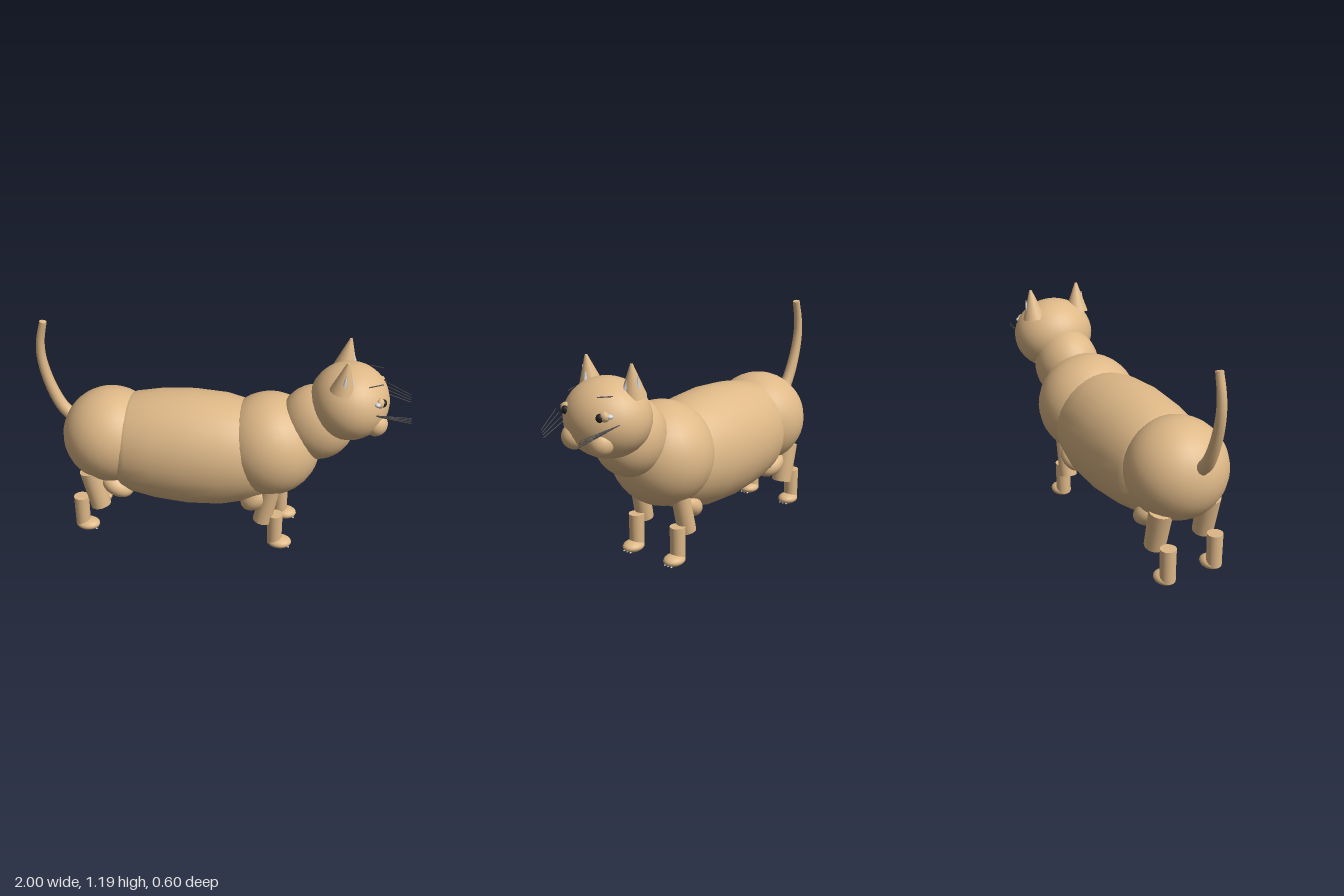
import * as THREE from 'three';

export function createModel() {
  const cat = new THREE.Group();
  cat.name = 'cat';
  const material = (name, color) => {
    const m = new THREE.MeshStandardMaterial({ color });
    m.name = name;
    return m;
  };
  const fur = material('tan fur', 0xdeb887);
  const pale = material('pale grey', 0xd4d6da);
  const black = material('black', 0x222222);
  const wire = material('whisker grey', 0x484848);

  const add = (name, geometry, mat) => {
    const mesh = new THREE.Mesh(geometry, mat);
    mesh.name = name;
    cat.add(mesh);
    return mesh;
  };
  const blob = (name, pos, size, mat = fur, tilt = 0, seg = 24) => {
    const mesh = add(name, new THREE.SphereGeometry(1, seg, Math.ceil(seg * 0.7)), mat);
    mesh.position.set(...pos);
    mesh.scale.set(...size);
    mesh.rotation.z = tilt;
    return mesh;
  };
  // Cylinder or cone running between two points
  const rod = (name, from, to, r0, r1, mat = fur, seg = 20) => {
    const a = new THREE.Vector3(...from), b = new THREE.Vector3(...to);
    const mesh = add(name, new THREE.CylinderGeometry(r1, r0, a.distanceTo(b), seg), mat);
    mesh.position.copy(a).lerp(b, 0.5);
    mesh.quaternion.setFromUnitVectors(new THREE.Vector3(0, 1, 0), b.sub(a).normalize());
    return mesh;
  };

  // Torso: smooth barrel lying along x
  const outline = [
    [0, -0.66], [0.32, -0.64], [0.56, -0.595], [0.8, -0.52], [0.88, -0.47], [0.96, -0.33],
    [1, -0.15], [0.97, 0.03], [0.88, 0.15], [0.78, 0.25], [0.6, 0.35], [0.35, 0.42], [0, 0.45],
  ].map(([r, x]) => new THREE.Vector2(r, x));
  const torso = new THREE.LatheGeometry(outline, 32);
  torso.rotateZ(-Math.PI / 2);
  torso.scale(1, 0.32, 0.298);
  torso.translate(0, 0.52, 0);
  add('torso', torso, fur);

  blob('rump', [-0.6, 0.556, 0], [0.265, 0.264, 0.268], fur, 0, 28);
  blob('chest', [0.275, 0.578, 0], [0.272, 0.28, 0.28], fur, 0, 28);
  blob('neck', [0.52, 0.732, 0], [0.2, 0.205, 0.178]);
  blob('head', [0.68, 0.873, 0], [0.207, 0.2, 0.226], fur, 0, 28);

  // Tail: tapered tube with a flat tip
  const path = new THREE.CatmullRomCurve3([
    [-0.79, 0.62, -0.008], [-0.87, 0.695, -0.012], [-0.935, 0.83, -0.018],
    [-0.97, 0.98, -0.022], [-0.968, 1.08, -0.022], [-0.943, 1.19, -0.022],
  ].map(p => new THREE.Vector3(...p)));
  const steps = 24, sides = 12;
  const tail = new THREE.TubeGeometry(path, steps, 1, sides);
  const p = tail.attributes.position, v = new THREE.Vector3();
  for (let i = 0; i < p.count; i++) {
    const t = Math.floor(i / (sides + 1)) / steps;
    const centre = path.getPointAt(t);
    v.fromBufferAttribute(p, i).sub(centre).multiplyScalar(0.037 - 0.017 * t).add(centre);
    p.setXYZ(i, v.x, v.y, v.z);
  }
  tail.computeBoundingSphere();
  add('tail', tail, fur);
  const tip = add('tailTip', new THREE.CircleGeometry(0.02, sides), fur);
  tip.position.copy(path.getPointAt(1));
  tip.lookAt(path.getPointAt(1).add(path.getTangentAt(1)));

  for (const s of [1, -1]) {
    const side = s > 0 ? 'right' : 'left';
    const name = part => side + part;

    // Legs, each an upper and a lower cylinder with a paw
    rod(name('FrontUpperLeg'), [0.257, 0.172, 0.147 * s], [0.305, 0.392, 0.14 * s], 0.05, 0.05);
    rod(name('BackUpperLeg'), [-0.645, 0.178, 0.147 * s], [-0.692, 0.395, 0.145 * s], 0.056, 0.062);
    for (const [part, x] of [['Front', 0.328], ['Back', -0.758]]) {
      rod(name(part + 'LowerLeg'), [x, 0.03, 0.142 * s], [x, 0.215, 0.142 * s], 0.04, 0.042);
      blob(name(part + 'Paw'), [x + 0.028, 0.036, 0.142 * s], [0.066, 0.031, 0.054]);
      for (const d of [-0.022, 0, 0.022])
        blob(name(part + 'Claw'), [x + 0.08, 0.017, 0.142 * s + d], [0.007, 0.004, 0.005], pale, 0, 8);
    }
    // Shoulder and thigh bulges under the belly
    blob(name('Shoulder'), [0.22, 0.3, 0.12 * s], [0.095, 0.06, 0.08], fur, 0.65);
    blob(name('Thigh'), [-0.55, 0.305, 0.12 * s], [0.095, 0.06, 0.08], fur, -0.5);

    // Ears with pale inner slivers
    rod(name('Ear'), [0.643, 0.995, 0.137 * s], [0.665, 1.155, 0.146 * s], 0.064, 0.007);
    rod(name('InnerEar'), [0.69, 1.03, 0.128 * s], [0.675, 1.1, 0.137 * s], 0.013, 0.004, pale, 8);
    rod(name('OuterEarTuft'), [0.652, 1.035, 0.176 * s], [0.66, 1.1, 0.178 * s], 0.012, 0.002, pale, 8);

    // Muzzle cheeks, eyes and brows
    blob(name('Muzzle'), [0.822, 0.795, 0.087 * s], [0.063, 0.064, 0.065]);
    blob(name('Eyelid'), [0.835, 0.935, 0.123 * s], [0.022, 0.027, 0.03], fur, 0, 12);
    blob(name('EyeWhite'), [0.824, 0.937, 0.146 * s], [0.017, 0.012, 0.02], pale, 0, 12);
    blob(name('Pupil'), [0.853, 0.93, 0.111 * s], [0.017, 0.021, 0.02], black, 0, 10);
    rod(name('Brow'), [0.775, 1.02, 0.127 * s], [0.845, 1.025, 0.093 * s], 0.003, 0.003, wire, 6);

    // Whiskers drawing together toward their tips
    for (let i = 0; i < 4; i++)
      rod(name('Whisker'), [0.822, 0.908 - 0.013 * i, (0.207 - 0.021 * i) * s],
        [0.999, 0.863 - 0.012 * i, (0.125 - 0.004 * i) * s], 0.0025, 0.0025, wire, 6);
  }
  return cat;
}
